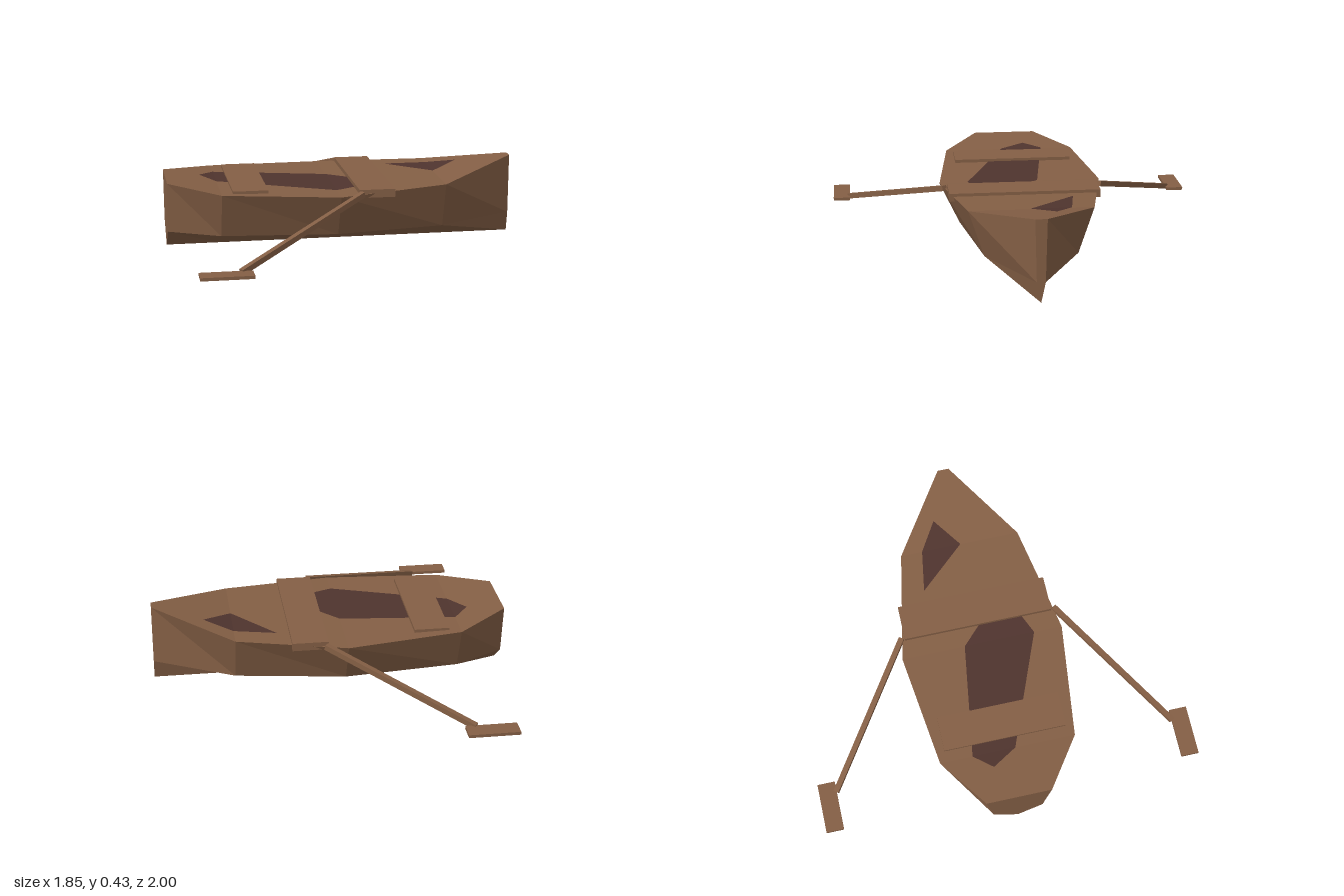
import * as THREE from 'three';

const wood = new THREE.MeshStandardMaterial({ color: 0x845f45, flatShading: true });
wood.name = 'wood';
const darkWood = new THREE.MeshStandardMaterial({ color: 0x4f342e, flatShading: true });
darkWood.name = 'darkWood';

// Hull stations: x, deck half width, deck height, chine half width
const stations = [
  [-0.925, 0.17, 0.37, 0.13],
  [-0.66, 0.355, 0.34, 0.265],
  [-0.06, 0.43, 0.325, 0.325],
  [0.51, 0.32, 0.345, 0.24],
  [0.925, 0.03, 0.425, 0.022],
];
const chineY = 0.105;

function meshFromTriangles(points, material, name) {
  const geometry = new THREE.BufferGeometry().setFromPoints(points);
  geometry.computeVertexNormals();
  const mesh = new THREE.Mesh(geometry, material);
  mesh.name = name;
  return mesh;
}

// Deck height at any x along the hull
function deckY(x) {
  for (let i = 0; i < stations.length - 1; i++) {
    const a = stations[i], b = stations[i + 1];
    if (x <= b[0]) return THREE.MathUtils.mapLinear(x, a[0], b[0], a[2], b[2]);
  }
  return stations.at(-1)[2];
}

// Hull: V-bottomed sections joined into a closed shell with a flat deck
function makeHull() {
  const rings = stations.map(([x, w, y, c]) =>
    [[-w, y], [-c, chineY], [0, 0], [c, chineY], [w, y]].map(([z, h]) => new THREE.Vector3(x, h, z)));
  const tris = [];
  for (let i = 0; i < rings.length - 1; i++) {
    const a = rings[i], b = rings[i + 1];
    for (let j = 0; j < 5; j++) {
      const k = (j + 1) % 5;
      tris.push(a[j], b[j], a[k], a[k], b[j], b[k]);
    }
  }
  const stern = rings[0], bow = rings.at(-1);
  for (let j = 1; j < 4; j++) {
    tris.push(stern[0], stern[j], stern[j + 1]);
    tris.push(bow[0], bow[j + 1], bow[j]);
  }
  return meshFromTriangles(tris, wood, 'hull');
}

// Dark openings: convex outlines [x, z] laid just above the deck
function makeOpening(outline, name) {
  const p = outline.map(([x, z]) => new THREE.Vector3(x, deckY(x) + 0.003, z));
  const tris = [];
  for (let i = 1; i < p.length - 1; i++) tris.push(p[0], p[i + 1], p[i]);
  return meshFromTriangles(tris, darkWood, name);
}

function makeBox(w, h, d, x, y, z, name) {
  const mesh = new THREE.Mesh(new THREE.BoxGeometry(w, h, d), wood);
  mesh.position.set(x, y, z);
  mesh.name = name;
  return mesh;
}

// Oar: slanted square shaft ending in a flat blade
function makeOar(side, name) {
  const oar = new THREE.Group();
  oar.name = name;
  const from = new THREE.Vector3(0.055, 0.333, side * 0.41);
  const to = new THREE.Vector3(-0.625, 0.1, side * 0.91);
  const shaft = makeBox(0.028, 0.028, from.distanceTo(to), 0, 0, 0, 'oarShaft');
  shaft.position.copy(from).add(to).multiplyScalar(0.5);
  shaft.lookAt(to);
  oar.add(shaft, makeBox(0.26, 0.016, 0.092, -0.7, 0.098, side * 0.954, 'oarBlade'));
  return oar;
}

export function createModel() {
  const boat = new THREE.Group();
  boat.name = 'rowingBoat';
  boat.add(makeHull());

  // Outlines run clockwise as seen from above, split where the deck bends
  boat.add(
    makeOpening([[-0.74, -0.09], [-0.66, -0.185], [-0.66, 0.04]], 'sternOpening'),
    makeOpening([[-0.66, -0.185], [-0.06, -0.095], [-0.06, 0.28], [-0.66, 0.04]], 'middleOpening'),
    makeOpening([[-0.06, -0.095], [0.12, 0.08], [0.12, 0.2], [-0.06, 0.28]], 'middleOpeningFront'),
    makeOpening([[0.29, -0.24], [0.51, -0.205], [0.51, 0.005]], 'bowOpening'),
    makeOpening([[0.51, -0.205], [0.66, -0.11], [0.51, 0.005]], 'bowOpeningFront'),
  );

  // Seats
  boat.add(
    makeBox(0.182, 0.042, 0.64, -0.51, 0.33, 0, 'rearSeat'),
    makeBox(0.185, 0.042, 0.79, 0.132, 0.33, 0, 'frontSeat'),
  );

  boat.add(makeOar(1, 'rightOar'), makeOar(-1, 'leftOar'));
  return boat;
}
